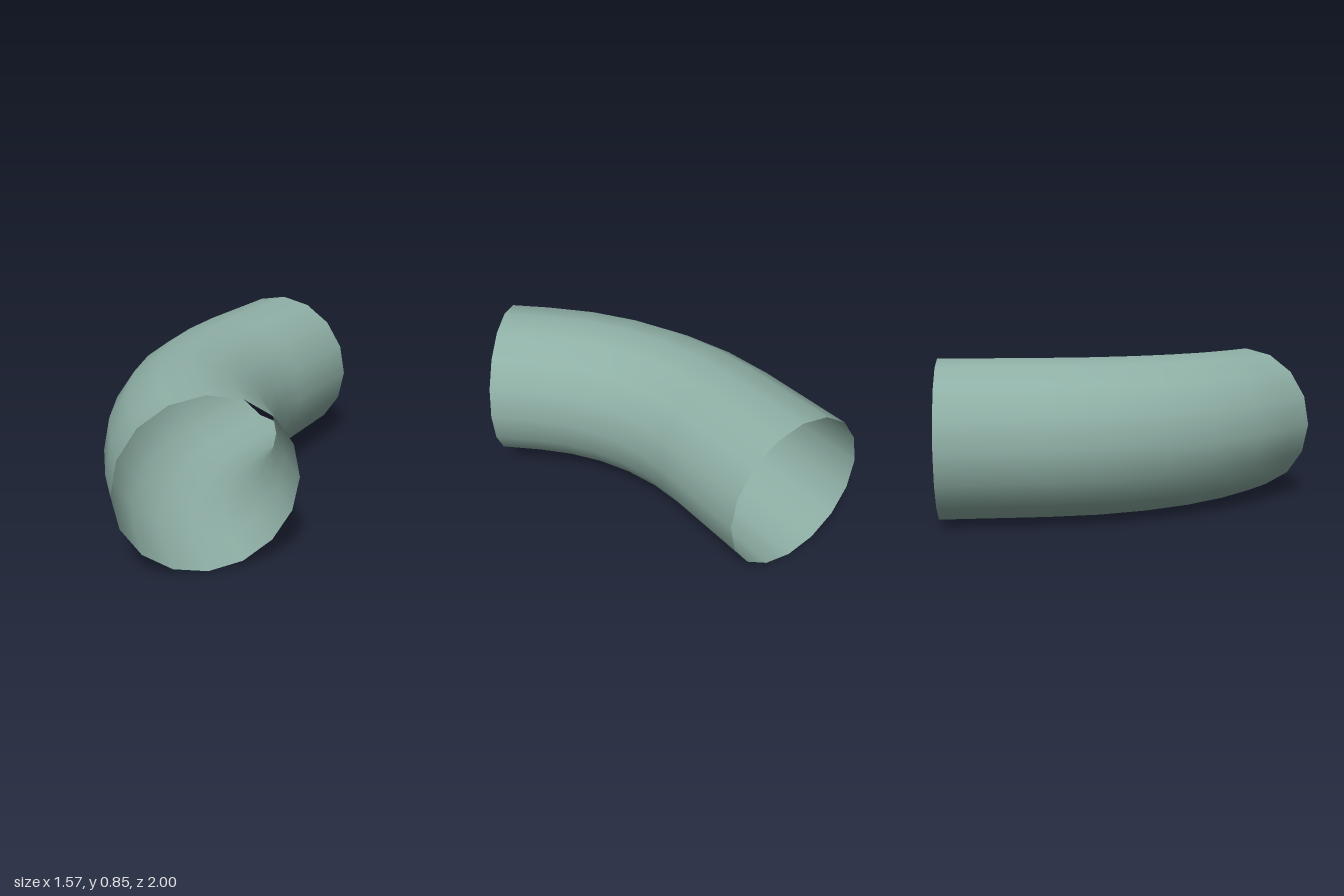
import * as THREE from 'three';

const RADIUS = 0.4245;       // pipe radius
const BEND = 1.52;           // centre-line radius of the bend
const START = new THREE.Vector3(-0.3635, RADIUS, 1);
const LEAD_IN = 0.22, LEAD_OUT = 0.57; // straight ends
const STEPS = 5, ANGLE = Math.PI / 4;

// Stations along the centre line: straight, 45 degree arc, straight
function makeStations() {
  const stations = [{ p: START.clone(), a: 0 }];
  for (let i = 0; i <= STEPS; i++) {
    const a = (ANGLE * i) / STEPS;
    const p = new THREE.Vector3(BEND * (1 - Math.cos(a)), 0, -LEAD_IN - BEND * Math.sin(a));
    stations.push({ p: p.add(START), a });
  }
  const end = stations[stations.length - 1].p.clone();
  end.x += LEAD_OUT * Math.sin(ANGLE);
  end.z -= LEAD_OUT * Math.cos(ANGLE);
  stations.push({ p: end, a: ANGLE });
  return stations;
}

// Open cylinder whose rings are moved onto the stations
function bentPipe() {
  const stations = makeStations();
  const rows = stations.length - 1;
  const geo = new THREE.CylinderGeometry(RADIUS, RADIUS, rows, 16, rows, true);
  const pos = geo.attributes.position, nor = geo.attributes.normal;
  for (let i = 0; i < pos.count; i++) {
    const { p, a } = stations[Math.round(pos.getY(i) + rows / 2)];
    const c = Math.cos(a), s = Math.sin(a);
    const x = pos.getX(i), up = pos.getZ(i);
    pos.setXYZ(i, p.x + x * c, p.y + up, p.z + x * s);
    const nx = nor.getX(i), nUp = nor.getZ(i);
    nor.setXYZ(i, nx * c, nUp, nx * s);
  }
  return geo;
}

export function createModel() {
  const group = new THREE.Group();
  group.name = 'pipeElbow';
  const material = new THREE.MeshStandardMaterial({ color: 0x8fb0a6, side: THREE.DoubleSide });
  const pipe = new THREE.Mesh(bentPipe(), material);
  pipe.name = 'bentPipe';
  group.add(pipe);
  return group;
}
